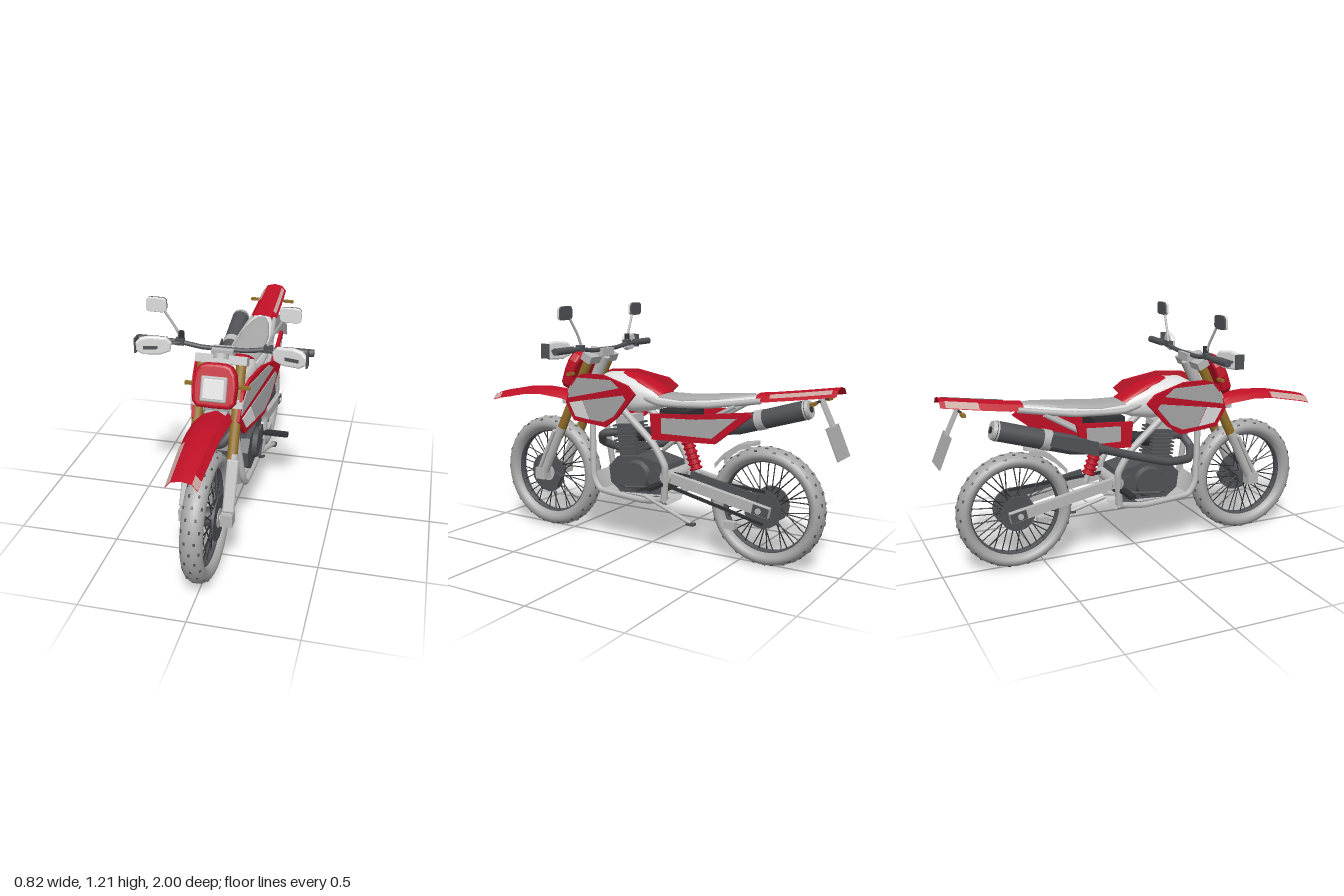
import * as THREE from 'three';
import { mergeGeometries, toCreasedNormals } from 'three/addons/utils/BufferGeometryUtils.js';
import { RoundedBoxGeometry } from 'three/addons/geometries/RoundedBoxGeometry.js';

const V = (x, y, z) => new THREE.Vector3(x, y, z);
const paint = (name, color) => Object.assign(new THREE.MeshStandardMaterial({ color, side: THREE.DoubleSide }), { name });

export function createModel() {
  const red = paint('red', 0xc01026), silver = paint('silver', 0xb8b8b8), grey = paint('panel grey', 0xa8a8a8);
  const white = paint('white', 0xdedede), dark = paint('dark grey', 0x505256), black = paint('near black', 0x303134);
  const gold = paint('gold', 0x94702a), pale = paint('pale pink', 0xcba8a2), tyreGrey = paint('tyre grey', 0xa6a6a6);
  const root = Object.assign(new THREE.Group(), { name: 'motorcycle' });
  const add = (name, geo, mat, parent = root) => parent.add(Object.assign(new THREE.Mesh(geo, mat), { name }));
  const group = (name, x, y, z, rx = 0, ry = 0) => {
    const g = Object.assign(new THREE.Group(), { name });
    g.position.set(x, y, z);
    g.rotation.set(rx, ry, 0);
    root.add(g);
    return g;
  };
  const box = (name, w, h, d, x, y, z, mat, rx = 0, parent = root) =>
    add(name, new THREE.BoxGeometry(w, h, d).rotateX(rx).translate(x, y, z), mat, parent);
  // Cylinder between two points
  const rodGeo = (a, b, r, r2 = r, n = 16) => {
    const d = b.clone().sub(a), g = new THREE.CylinderGeometry(r2, r, d.length(), n);
    g.applyQuaternion(new THREE.Quaternion().setFromUnitVectors(V(0, 1, 0), d.normalize()));
    return g.translate((a.x + b.x) / 2, (a.y + b.y) / 2, (a.z + b.z) / 2);
  };
  const rod = (name, a, b, r, mat, parent, r2) => add(name, rodGeo(V(...a), V(...b), r, r2), mat, parent);
  const tube = (name, pts, r, mat) => add(name,
    new THREE.TubeGeometry(new THREE.CatmullRomCurve3(pts.map(p => V(...p)), false, 'catmullrom', 0.2), pts.length * 8, r, 10), mat);
  // Flat piece from an outline, centred in depth, with optional rounded rim
  const slab = (pts, t, bevel = 0) => new THREE.ExtrudeGeometry(new THREE.Shape(pts.map(p => new THREE.Vector2(...p))),
    { depth: t - 2 * bevel, bevelEnabled: bevel > 0, bevelSize: bevel, bevelThickness: bevel, bevelOffset: -bevel }).translate(0, 0, bevel - t / 2);
  // Rounded outline; pow sets how square it is
  const oval = (w, h, pow, n) => Array.from({ length: n }, (_, i) => [Math.cos(i / n * Math.PI * 2) * 1, Math.sin(i / n * Math.PI * 2)]
    .map((v, k) => [w, h][k] / 2 * Math.sign(v) * Math.abs(v) ** pow));
  // Side plate drawn in (z, y), sheared sideways by xAt(z)
  const plate = (name, pts, t, xAt, mat) => {
    const g = slab(pts, t).rotateY(-Math.PI / 2), p = g.attributes.position;
    for (let i = 0; i < p.count; i++) p.setX(i, p.getX(i) + xAt(p.getZ(i)));
    g.computeVertexNormals();
    add(name, g, mat);
  };
  // Surface through rows of n points; ring closes each row and caps the ends
  const skin = (name, pos, n, ring, mat) => {
    const idx = [], last = pos.length / 3 - n, g = new THREE.BufferGeometry();
    for (let j = 0; j < (ring ? n : n - 1); j++) {
      const k = (j + 1) % n;
      for (let i = 0; i < last; i += n) idx.push(i + j, i + k, i + n + j, i + k, i + n + k, i + n + j);
      if (ring && j > 0 && k > 0) idx.push(0, k, j, last, last + j, last + k);
    }
    g.setAttribute('position', new THREE.Float32BufferAttribute(pos, 3)).setIndex(idx);
    add(name, toCreasedNormals(g, 0.6), mat);
  };
  // Body lofted from rounded sections [z, bottom, top, halfWidth], z increasing
  const loft = (name, secs, pow, mat) => skin(name, secs.flatMap(([z, y0, y1, w]) =>
    oval(w * 2, y1 - y0, pow, 28).flatMap(([x, y]) => [x, y + (y0 + y1) / 2, z])), 28, true, mat);
  // Open sheet: profile [u, dy] swept over stations [z, y, halfWidth], z decreasing
  const sheet = (name, stations, profile, mat) =>
    skin(name, stations.flatMap(([z, y, w]) => profile.flatMap(([u, d]) => [u * w, y + d, z])), profile.length, false, mat);
  // Wheels
  const wheel = (name, y, z, r, rin, w) => {
    const g = group(name, 0, y, z), rc = (r + rin) / 2, a = (r - rin) / 2, knobs = [], spokes = [];
    const ring = Array.from({ length: 25 }, (_, i) => (i / 12 - 1) * Math.PI).map(t => new THREE.Vector2(rc + a * Math.cos(t), w * Math.sin(t)));
    add('tyre', new THREE.LatheGeometry(ring, 64).rotateZ(Math.PI / 2), tyreGrey, g);
    for (let i = 0; i < 36; i++) {
      const t = i / 36 * Math.PI * 2, s = i % 2 ? 1 : -1, h = t + (i % 4 < 2 ? 0.5 : -0.5);
      for (const k of i % 2 ? [-0.9, 0, 0.9] : [-0.45, 0.45])
        knobs.push(new THREE.BoxGeometry(0.009, 0.004, 0.014).rotateZ(-k).translate(w * Math.sin(k), rc + a * Math.cos(k), 0).rotateX(t));
      spokes.push(rodGeo(V(s * 0.03, 0.045 * Math.cos(h), 0.045 * Math.sin(h)), V(s * 0.006, rin * Math.cos(t), rin * Math.sin(t)), 0.0028, 0.0028, 6));
    }
    add('treadBlocks', mergeGeometries(knobs), dark, g);
    add('spokes', mergeGeometries(spokes), black, g);
    add('rim', new THREE.TorusGeometry(rin + 0.003, 0.009, 8, 64).rotateY(Math.PI / 2).scale(2.4, 1, 1), dark, g);
    rod('hub', [-0.045, 0, 0], [0.045, 0, 0], 0.045, dark, g);
    rod('axle', [-0.11, 0, 0], [0.11, 0, 0], 0.014, silver, g);
    return g;
  };
  const fw = wheel('frontWheel', 0.305, 0.632, 0.3, 0.222, 0.051), rw = wheel('rearWheel', 0.29, -0.637, 0.284, 0.217, 0.055);
  rod('frontBrakeDisc', [0.05, 0, 0], [0.057, 0, 0], 0.107, dark, fw);
  rod('discCarrier', [0.055, 0, 0], [0.06, 0, 0], 0.045, silver, fw);
  rod('sprocket', [0.053, 0, 0], [0.06, 0, 0], 0.095, dark, rw);
  rod('rearBrakeDisc', [-0.06, 0, 0], [-0.053, 0, 0], 0.088, dark, rw);
  // Fork and steering
  const lean = -0.455, onFork = y => 0.632 - (y - 0.305) * 0.489;
  for (const s of [1, -1]) {
    rod('forkTube', [s * 0.09, 0.52, onFork(0.52)], [s * 0.09, 0.94, onFork(0.94)], 0.024, gold);
    rod('forkLeg', [s * 0.095, 0.29, onFork(0.29)], [s * 0.095, 0.57, onFork(0.57)], 0.024, silver);
    add('forkGuard', new RoundedBoxGeometry(0.055, 0.24, 0.02, 3, 0.009).rotateX(lean).translate(s * 0.1, 0.45, onFork(0.45) + 0.024), silver);
    box('forkFoot', 0.055, 0.06, 0.06, s * 0.097, 0.31, 0.633, silver);
    box('frontSignal', 0.05, 0.014, 0.016, s * 0.125, 0.86, 0.415, gold);
  }
  box('brakeCaliper', 0.03, 0.07, 0.045, 0.065, 0.275, 0.56, dark, lean);
  for (const y of [0.945, 0.77]) box('forkClamp', 0.24, 0.04, 0.06, 0, y, onFork(y), silver, lean);
  rod('steeringHead', [0, 0.74, 0.39], [0, 0.95, 0.29], 0.03, silver);
  // Headlight
  const mask = group('headlight', 0, 0.873, 0.447, -0.36);
  const maskHalf = [[0, -0.1], [0.075, -0.098], [0.097, -0.075], [0.102, 0], [0.094, 0.055], [0.072, 0.09], [0.045, 0.1], [0, 0.102]];
  add('headlightMask', slab([...maskHalf, ...maskHalf.slice(1, -1).reverse().map(([x, y]) => [-x, y])], 0.06, 0.016), red, mask);
  add('lampSurround', new RoundedBoxGeometry(0.12, 0.115, 0.018, 3, 0.008).translate(0, -0.014, 0.03), silver, mask);
  add('lamp', new RoundedBoxGeometry(0.096, 0.09, 0.009, 3, 0.004).translate(0, -0.014, 0.037), white, mask);
  box('lampBracket', 0.11, 0.035, 0.04, 0, 0.773, 0.44, grey);
  // Handlebar, guards and mirrors
  tube('handlebar', [[-0.4, 1, 0.285], [-0.22, 1, 0.285], [-0.1, 0.985, 0.29], [0.1, 0.985, 0.29], [0.22, 1, 0.285], [0.4, 1, 0.285]], 0.011, dark);
  box('barClamp', 0.1, 0.04, 0.06, 0, 0.972, 0.295, silver);
  rod('instrument', [0, 0.96, 0.345], [0, 0.982, 0.335], 0.035, silver);
  const guardShape = [[-0.082, 0.012], [-0.06, 0.038], [0.02, 0.046], [0.06, 0.038], [0.082, 0.015], [0.08, -0.022], [0.05, -0.042], [-0.03, -0.044], [-0.075, -0.028]];
  for (const s of [1, -1]) {
    rod('grip', [s * 0.27, 1, 0.285], [s * 0.41, 1, 0.285], 0.017, dark);
    box('leverMount', 0.04, 0.03, 0.03, s * 0.205, 1.003, 0.29, dark);
    tube('lever', [[s * 0.2, 1, 0.3], [s * 0.27, 1, 0.325], [s * 0.38, 1, 0.325]], 0.006, dark);
    const guard = group('handGuard', s * 0.312, 0.998, 0.35, 0, -s * 0.25);
    add('guardShell', slab(guardShape.map(([x, y]) => [s * x, y]), 0.026, 0.01), white, guard);
    box('guardSlot', 0.065, 0.016, 0.006, s * 0.015, -0.006, 0.012, dark, 0, guard);
    box('guardEnd', 0.008, 0.07, 0.045, s * 0.392, 1, 0.358, dark);
    tube('mirrorStem', [[s * 0.2, 1.01, 0.285], [s * 0.225, 1.07, 0.29], [s * 0.275, 1.155, 0.3]], 0.006, silver);
    add('mirrorShell', slab(oval(0.096, 0.068, 0.45, 32), 0.014, 0.004).translate(s * 0.305, 1.178, 0.308), white);
    add('mirrorGlass', slab(oval(0.094, 0.066, 0.45, 32), 0.008).translate(s * 0.305, 1.178, 0.298), dark);
  }
  rod('switchKnob', [-0.2, 1.02, 0.285], [-0.2, 1.05, 0.285], 0.014, black);
  // Fenders
  const channel = [[-1, -0.034], [-0.65, -0.006], [0, 0.004], [0.65, -0.006], [1, -0.034]], edge = s => [[s * 1.01, -0.03], [s * 0.66, -0.003]];
  const front = [[1, 0.708, 0.068], [0.95, 0.722, 0.069], [0.76, 0.759, 0.077], [0.65, 0.766, 0.08], [0.52, 0.756, 0.082], [0.42, 0.735, 0.078]];
  const tail = [[-0.59, 0.822, 0.07], [-0.66, 0.829, 0.074], [-0.8, 0.848, 0.071], [-0.95, 0.87, 0.066], [-0.975, 0.874, 0.065]];
  sheet('frontFender', front, channel, red);
  sheet('tailFender', tail, channel, red);
  sheet('frontFenderRightEdge', front.slice(0, 3), edge(-1), pale);
  sheet('frontFenderLeftEdge', front.slice(0, 2), edge(1), pale);
  sheet('tailRightEdge', tail.slice(2, 4), edge(-1), pale);
  sheet('tailLeftEdge', tail.slice(1, 4), [[0.88, -0.019], [0.66, -0.002]], pale);
  box('fenderMount', 0.1, 0.05, 0.14, 0, 0.715, 0.46, silver);
  for (const s of [1, -1]) box('rearSignal', 0.05, 0.014, 0.018, s * 0.1, 0.808, -0.885, gold);
  rod('rearSignalBar', [-0.08, 0.81, -0.885], [0.08, 0.81, -0.885], 0.006, black);
  box('plateArm', 0.05, 0.15, 0.01, 0, 0.765, -0.91, silver, 0.45);
  box('rearPlate', 0.15, 0.155, 0.008, 0, 0.63, -0.967, grey, 0.4);
  sheet('mudFlap', [[-0.38, 0.475, 0.05], [-0.43, 0.53, 0.05], [-0.5, 0.578, 0.05], [-0.57, 0.59, 0.05]], [[-1, -0.025], [-1, 0], [1, 0], [1, -0.025]], silver);
  // Tank and seat
  loft('tank', [[-0.09, 0.72, 0.785, 0.07], [-0.04, 0.7, 0.815, 0.085], [0.06, 0.68, 0.855, 0.1], [0.18, 0.69, 0.875, 0.1], [0.25, 0.72, 0.872, 0.085], [0.29, 0.75, 0.85, 0.06]], 0.7, white);
  loft('tankTopPaint', [[-0.095, 0.73, 0.792, 0.066], [-0.04, 0.76, 0.822, 0.07], [0.04, 0.8, 0.859, 0.068], [0.11, 0.82, 0.875, 0.05], [0.16, 0.85, 0.878, 0.02]], 0.7, red);
  loft('seatBase', [[-0.61, 0.785, 0.812, 0.045], [-0.55, 0.765, 0.808, 0.066], [-0.4, 0.745, 0.792, 0.086], [-0.22, 0.73, 0.775, 0.09], [-0.06, 0.725, 0.78, 0.08]], 0.6, white);
  loft('seat', [[-0.585, 0.79, 0.818, 0.025], [-0.53, 0.77, 0.817, 0.05], [-0.4, 0.75, 0.804, 0.078], [-0.22, 0.735, 0.787, 0.086], [-0.08, 0.73, 0.787, 0.075]], 0.6, grey);
  // Shrouds and side panels
  const shroud = [[0.46, 0.71], [0.41, 0.835], [0.33, 0.868], [0.19, 0.874], [0.02, 0.835], [-0.03, 0.795], [0.09, 0.67], [0.17, 0.615], [0.4, 0.622]];
  const upper = [[0.425, 0.785], [0.37, 0.845], [0.13, 0.853], [0.075, 0.818], [0.26, 0.775], [0.44, 0.735]];
  const lower = [[0.33, 0.732], [0.05, 0.785], [0.03, 0.765], [0.11, 0.675], [0.18, 0.64], [0.28, 0.64]];
  const lowerFront = [[0.43, 0.712], [0.335, 0.731], [0.285, 0.64], [0.385, 0.645]];
  const inset = [[-0.14, 0.685], [-0.32, 0.692], [-0.53, 0.715], [-0.405, 0.61], [-0.14, 0.61]];
  for (const s of [1, -1]) {
    const at = d => z => s * (0.196 - 0.2 * z + d), flat = d => z => s * (0.135 + 0.05 * (z + 0.08) + d);
    const end = s > 0 ? [[-0.58, 0.745], [-0.6, 0.73], [-0.42, 0.585]] : [[-0.36, 0.715], [-0.33, 0.58]];
    plate('shroud', shroud, 0.014, at(0), red);
    for (const [pts, mat] of [[upper, grey], [lower, grey], [lowerFront, white]]) plate('shroudPanel', pts, 0.006, at(0.008), mat);
    plate('sidePanel', [[-0.075, 0.7], [-0.3, 0.712], ...end, [-0.085, 0.575]], 0.018, flat(0), red);
    plate('sidePanelInset', s > 0 ? inset : inset.map(([z, y]) => [Math.max(z, -0.31), Math.min(y, 0.692)]), 0.006, flat(0.01), grey);
    box('radiator', 0.07, 0.18, 0.04, s * 0.085, 0.7, 0.31, dark, lean);
    // Frame rails
    tube('seatRail', [[s * 0.06, 0.79, 0.1], [s * 0.09, 0.745, -0.1], [s * 0.09, 0.755, -0.35], [s * 0.06, 0.795, -0.62]], 0.014, silver);
    tube('rearStay', [[s * 0.09, 0.52, -0.12], [s * 0.095, 0.62, -0.25], [s * 0.08, 0.765, -0.5]], 0.011, silver);
    tube('mainRail', [[s * 0.03, 0.82, 0.3], [s * 0.1, 0.69, 0.1], [s * 0.11, 0.55, -0.07], [s * 0.11, 0.44, -0.14], [s * 0.1, 0.27, -0.13]], 0.018, silver);
    tube('cradleTube', [[s * 0.02, 0.8, 0.34], [s * 0.06, 0.6, 0.325], [s * 0.09, 0.34, 0.3], [s * 0.095, 0.27, 0.25], [s * 0.095, 0.25, 0], [s * 0.1, 0.27, -0.13]], 0.016, silver);
    // Swingarm, footpegs, pedals and engine covers
    box('swingarm', 0.028, 0.05, 0.56, s * 0.085, 0.335, -0.41, silver, -0.19);
    box('axleBlock', 0.035, 0.045, 0.08, s * 0.085, 0.29, -0.645, dark, -0.19);
    box('footpeg', 0.14, 0.018, 0.035, s * 0.17, 0.352, -0.12, black);
    tube('footPedal', [[s * 0.11, 0.33, -0.08], [s * 0.127, 0.315, 0.07], [s * 0.155, 0.335, 0.095]], 0.007, dark);
    rod('roundCover', [s * 0.09, 0.372, 0.03], [s * 0.118, 0.372, 0.03], 0.084, dark, root, 0.07);
    rod('smallCover', [s * 0.09, 0.37, -0.08], [s * 0.108, 0.37, -0.08], 0.045, dark);
  }
  rod('swingarmPivot', [-0.11, 0.385, -0.14], [0.11, 0.385, -0.14], 0.03, silver);
  box('chainGuard', 0.014, 0.035, 0.36, 0.068, 0.375, -0.44, dark, -0.19);
  for (const [y, tilt] of [[0.386, -0.05], [0.27, -0.22]]) box('chainRun', 0.012, 0.014, 0.5, 0.058, y, -0.4, black, tilt);
  box('chainGuide', 0.03, 0.035, 0.06, 0.065, 0.19, -0.475, silver);
  // Rear shock
  rod('shockBody', [0, 0.7, -0.15], [0, 0.38, -0.27], 0.014, silver);
  rod('spring', [0, 0.58, -0.195], [0, 0.42, -0.255], 0.025, red);
  for (let i = 0; i < 7; i++) add('springCoil', new THREE.TorusGeometry(0.026, 0.007, 8, 20).rotateX(1.93).translate(0, 0.575 - i * 0.025, -0.197 - i * 0.0094), red);
  // Engine
  plate('crankcase', [[0.2, 0.4], [0.15, 0.455], [0, 0.47], [-0.13, 0.44], [-0.15, 0.36], [-0.1, 0.29], [0.13, 0.275], [0.19, 0.32]], 0.19, () => 0, dark);
  const cyl = group('cylinder', 0, 0.46, 0.115, 0.12);
  box('barrel', 0.1, 0.18, 0.1, 0, 0.08, 0, dark, 0, cyl);
  for (let i = 0; i < 8; i++) box('coolingFin', 0.145, 0.008, 0.12, 0, 0.02 + i * 0.019, 0, dark, 0, cyl);
  box('cylinderHead', 0.11, 0.04, 0.1, 0, 0.18, 0, silver, 0, cyl);
  rod('carburettor', [0, 0.56, 0.08], [0, 0.59, -0.08], 0.035, black);
  box('airBox', 0.16, 0.13, 0.16, 0, 0.65, -0.17, black);
  sheet('skidPlate', [[0.315, 0.35, 0.075], [0.27, 0.262, 0.085], [0.22, 0.24, 0.085], [-0.13, 0.235, 0.085]], [[-1.15, 0.035], [-0.8, 0], [0.8, 0], [1.15, 0.035]], silver);
  box('skidPad', 0.1, 0.006, 0.24, 0, 0.234, 0.05, dark);
  // Exhaust
  tube('exhaustPipe', [[0, 0.57, 0.17], [0.03, 0.55, 0.28], [-0.01, 0.5, 0.31], [-0.09, 0.46, 0.26], [-0.125, 0.47, 0.12], [-0.13, 0.53, -0.08], [-0.155, 0.6, -0.28]], 0.021, dark);
  rod('mufflerCone', [-0.152, 0.585, -0.24], [-0.158, 0.63, -0.4], 0.024, dark, root, 0.047);
  rod('muffler', [-0.158, 0.63, -0.4], [-0.158, 0.738, -0.76], 0.047, dark);
  rod('mufflerBand', [-0.158, 0.662, -0.505], [-0.158, 0.674, -0.545], 0.05, silver);
  rod('mufflerCap', [-0.158, 0.735, -0.75], [-0.158, 0.742, -0.775], 0.049, silver, root, 0.042);
  rod('tailpipe', [-0.158, 0.738, -0.765], [-0.158, 0.743, -0.78], 0.016, black);
  plate('heatShield', [[-0.28, 0.64], [-0.5, 0.7], [-0.52, 0.65], [-0.28, 0.57]], 0.008, () => -0.207, dark);
  // Side stand
  rod('sideStand', [0.1, 0.275, -0.02], [0.132, 0.185, -0.3], 0.01, silver);
  box('standFoot', 0.03, 0.012, 0.04, 0.133, 0.182, -0.3, dark);
  return root;
}
